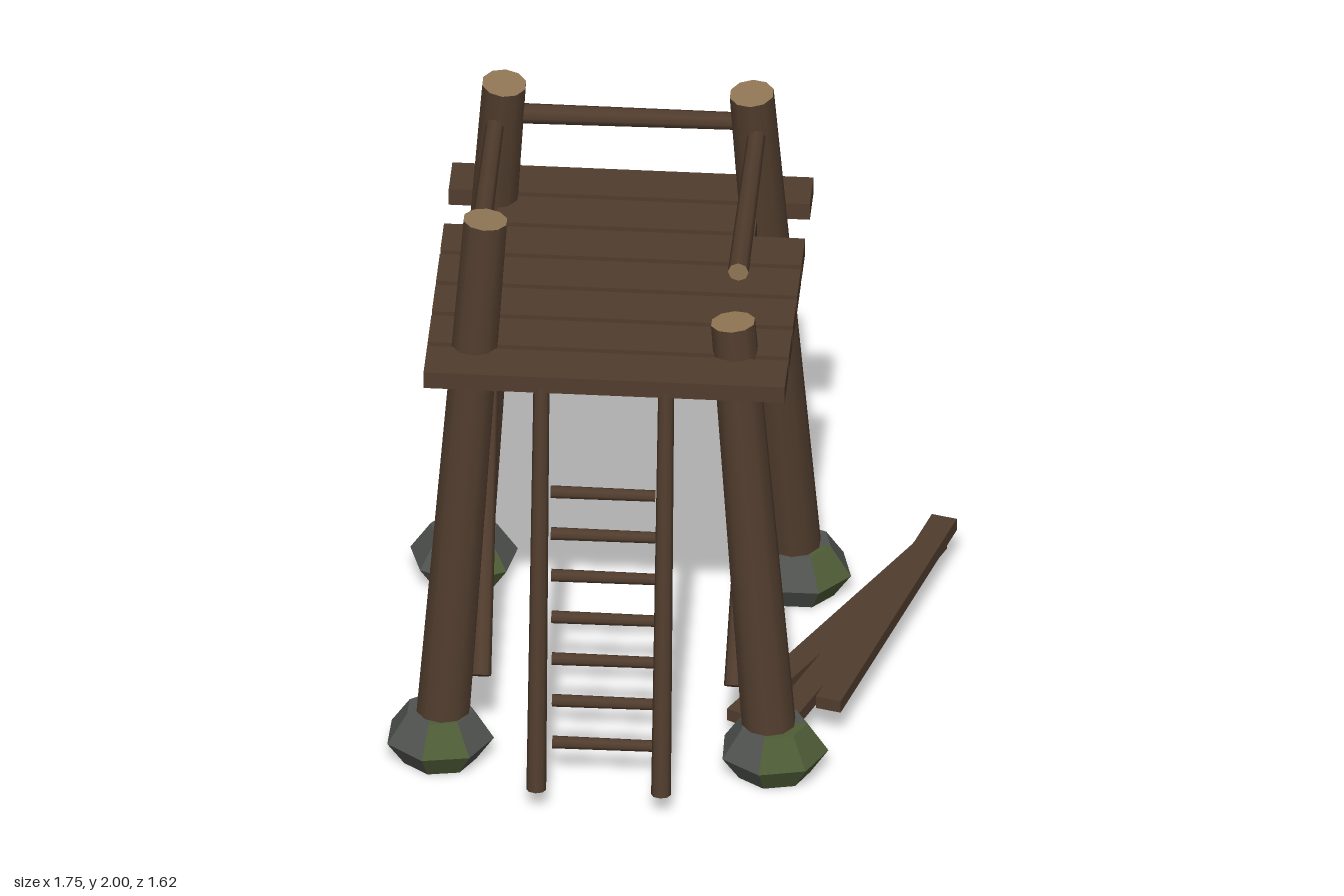
import * as THREE from 'three';

export function createModel() {
  const model = new THREE.Group();
  model.name = 'watchtower';
  const material = (name, color) => {
    const m = new THREE.MeshStandardMaterial({ color });
    m.name = name;
    return m;
  };
  const wood = material('dark wood', 0x503c2d);
  const cutWood = material('cut wood', 0x917755);
  const stone = material('stone', 0x50534f);
  const moss = material('moss', 0x4e5c36);

  const add = (name, geometry, mat) => {
    const mesh = new THREE.Mesh(geometry, mat);
    mesh.name = name;
    model.add(mesh);
    return mesh;
  };

  // Tapered log running from point a to point b
  const log = (name, a, b, ra, rb, mats, sides = 8) => {
    const from = new THREE.Vector3(...a);
    const dir = new THREE.Vector3(...b).sub(from);
    const mesh = add(name, new THREE.CylinderGeometry(rb, ra, dir.length(), sides), mats);
    mesh.position.copy(from).addScaledVector(dir, 0.5);
    mesh.quaternion.setFromUnitVectors(new THREE.Vector3(0, 1, 0), dir.normalize());
    return mesh;
  };
  const plank = (name, w, h, d, x, y, z, turn = 0) => {
    const mesh = add(name, new THREE.BoxGeometry(w, h, d), wood);
    mesh.position.set(x, y, z);
    mesh.rotation.y = THREE.MathUtils.degToRad(turn);
  };

  const cx = -0.164, cz = -0.04;
  const plain = [wood, wood, wood];
  const topCut = [wood, cutWood, wood];
  const bothCut = [wood, cutWood, cutWood];

  // Leaning posts on faceted stones; the front left post is broken off short
  const profile = [[0, 0], [0.12, 0], [0.178, 0.085], [0.11, 0.187], [0, 0.187]]
    .map(([r, y]) => new THREE.Vector2(r, y));
  const corners = [
    { sx: -1, sz: 1, top: 1.995, mossAt: 0.2, mossFaces: 1 },
    { sx: 1, sz: 1, top: 1.64, mossAt: 0.25, mossFaces: 2 },
    { sx: -1, sz: -1, top: 1.995, mossAt: 0.5, mossFaces: 1 },
    { sx: 1, sz: -1, top: 1.995, mossAt: 0.9, mossFaces: 1 },
  ];
  for (const { sx, sz, top, mossAt, mossFaces } of corners) {
    log('post', [cx + sx * 0.535, 0.06, cz + sz * 0.535], [cx + sx * 0.4, top, cz + sz * 0.4],
      0.09, 0.073, topCut, 10);

    const sides = 7;
    const lathe = new THREE.LatheGeometry(profile, sides, mossAt - Math.PI / sides);
    const perSide = (profile.length - 1) * 6;
    const total = lathe.index.count;
    lathe.addGroup(0, perSide * mossFaces, 1);
    lathe.addGroup(perSide * mossFaces, total - perSide * mossFaces, 0);
    const faceted = lathe.toNonIndexed();
    faceted.computeVertexNormals();
    const foot = add('footStone', faceted, [stone, moss]);
    foot.position.set(cx + sx * 0.54, 0, cz + sz * 0.53);
    foot.scale.z = 0.92;
  }

  // Platform planks, the one between the back posts is shorter
  for (let i = 0; i < 7; i++) {
    plank('platformPlank', i === 5 ? 0.84 : 1.167, 0.06, 0.157, cx, 1.51, 0.5 - i * 0.179);
  }

  // Hand rails, the right-hand one reaching out past the broken post
  log('backRail', [-0.57, 1.865, -0.465], [0.23, 1.87, -0.465], 0.034, 0.029, bothCut);
  log('sideRail', [-0.59, 1.85, 0.36], [-0.59, 1.865, -0.44], 0.034, 0.029, bothCut);
  log('sideRail', [0.255, 1.85, 0.385], [0.255, 1.865, -0.44], 0.034, 0.029, bothCut);

  // Diagonal side braces
  for (const s of [-1, 1]) {
    log('brace', [cx + s * 0.41, 0.28, 0.43], [cx + s * 0.435, 1.42, -0.47], 0.034, 0.03, plain);
  }

  // Ladder with loosely set rungs
  for (const x of [-0.368, 0.035]) {
    log('ladderRail', [x, 0.08, 0.777], [x, 1.49, 0.558], 0.032, 0.026, plain);
  }
  for (let i = 0; i < 7; i++) {
    const y = 0.14 + i * 0.169;
    const z = 0.578 + 0.071 * y;
    log('ladderRung', [-0.33, y, z], [0.007, y, z], 0.021, 0.019, bothCut);
  }

  // Spare boards fanned out on the ground
  plank('spareBoard', 0.085, 0.044, 1.13, 0.685, 0.135, -0.25, -15);
  plank('spareBoard', 0.085, 0.044, 1.13, 0.61, 0.117, -0.19, -20.5);
  plank('spareBoard', 0.085, 0.044, 1.13, 0.512, 0.1, -0.157, -27.5);

  return model;
}
